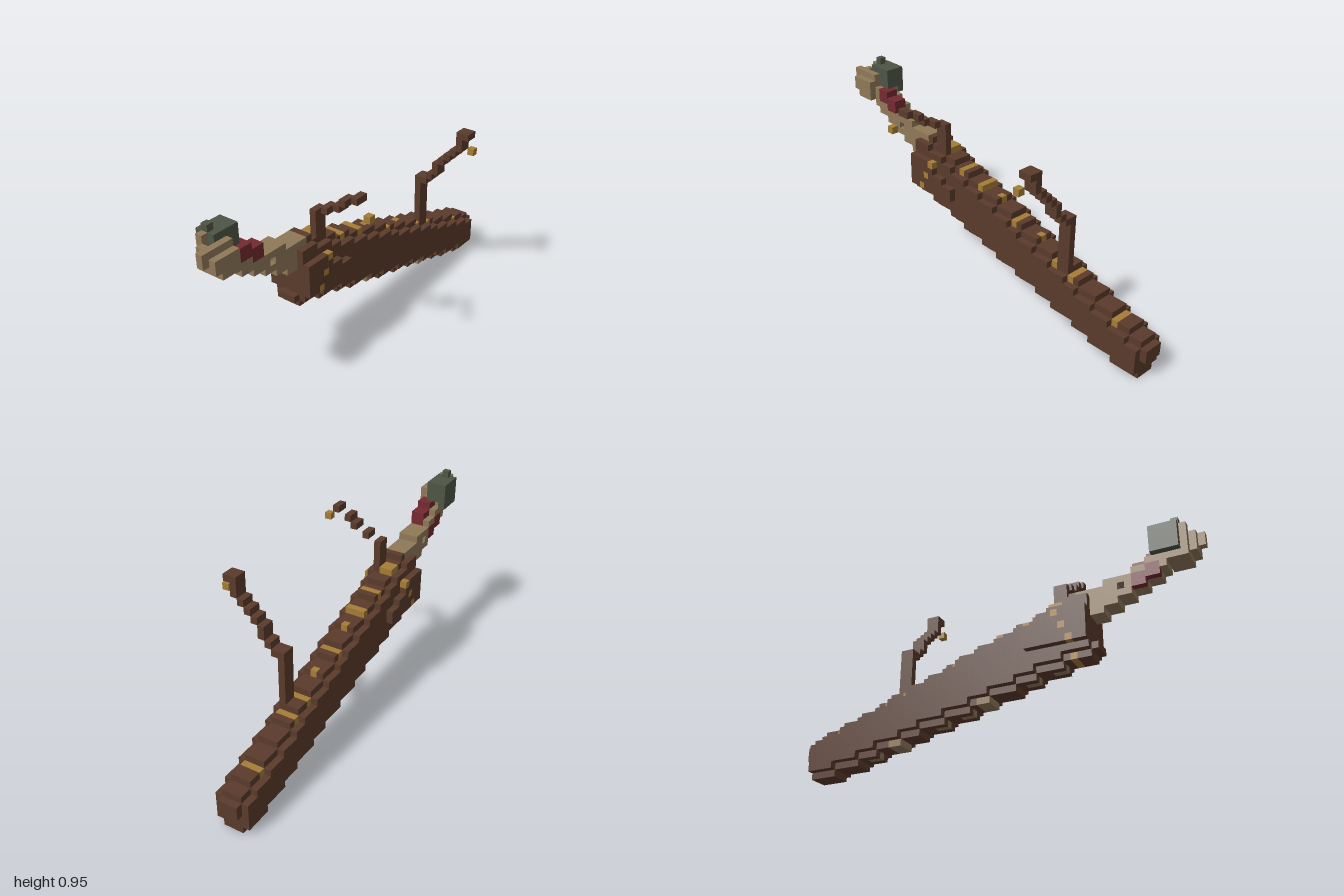
import * as THREE from 'three';
import { mergeGeometries } from 'three/addons/utils/BufferGeometryUtils.js';

const U = 2 / 61; // edge of one cube
const makeMaterial = (name, color) => new THREE.MeshStandardMaterial({ name, color });

// One square face of a cube for each direction
const half = Math.PI / 2;
const FACES = [
  [0, 0, 1, (g) => g], [0, 0, -1, (g) => g.rotateY(Math.PI)],
  [1, 0, 0, (g) => g.rotateY(half)], [-1, 0, 0, (g) => g.rotateY(-half)],
  [0, 1, 0, (g) => g.rotateX(-half)], [0, -1, 0, (g) => g.rotateX(half)],
];

export function createModel() {
  const materials = {
    wood: makeMaterial('dark wood', 0x5a3b2c),
    tan: makeMaterial('tan', 0x8f7858),
    gold: makeMaterial('gold', 0xa57c35),
    green: makeMaterial('grey green', 0x4e5545),
    red: makeMaterial('dark red', 0x742a2f),
  };
  const cells = new Map();
  const key = (x, y, z) => `${x},${y},${z}`;

  // Fills an inclusive range of cubes; later blocks replace earlier ones
  function block(part, color, [x0, x1], [y0, y1], [z0, z1]) {
    for (let x = x0; x <= x1; x++)
      for (let y = y0; y <= y1; y++)
        for (let z = z0; z <= z1; z++) cells.set(key(x, y, z), { x, y, z, part, color });
  }

  // Sloping, tapering beam with chamfered long edges
  const bottom = (k) => Math.max(0, Math.floor((k - 1) / 3.6));
  const top = (k) => Math.min(20, Math.floor(6 + 0.36 * k) - 1);
  block('beam', 'wood', [2, 4], [3, 4], [0, 0]);
  for (let k = 1; k <= 44; k++) {
    const end = k > 42 ? 1 : 0;
    block('beam', 'wood', [2, 4], [bottom(k), top(k) - end], [k, k]);
    block('beam', 'wood', [1, 5], [bottom(k) + 1, top(k) - 1], [k, k]);
  }
  block('frontLip', 'wood', [2, 4], [12, 12], [45, 45]);

  // Cheeks on both sides of the front end, with studs
  for (const x of [0, 6]) {
    block('cheek', 'wood', [x, x], [13, 17], [40, 44]);
    block('cheek', 'wood', [x, x], [13, 15], [38, 39]);
    block('cheek', 'wood', [x, x], [13, 14], [36, 37]);
    for (const [y, z] of [[17, 40], [15, 41], [13, 42]])
      block('cheekStud', 'gold', [x, x], [y, y], [z, z]);
  }

  // Gold bands and dots on the top
  for (const k of [5, 13, 16, 24, 31, 35]) block('topBand', 'gold', [2, 4], [top(k), top(k)], [k, k]);
  for (const k of [20, 28]) block('topDot', 'gold', [3, 3], [top(k), top(k)], [k, k]);
  block('topBand', 'gold', [2, 3], [top(40), top(40)], [39, 40]);

  // Inlay along the underside
  for (let k = 2; k <= 41; k++) {
    const row = bottom(k);
    if (bottom(k + 2) === row) continue;
    if (row === 3 || row === 7) block('inlay', 'tan', [2, 4], [row, row], [k, k]);
    else if ([2, 5, 6, 9, 10].includes(row)) block('inlay', 'tan', [3, 3], [row, row], [k, k]);
  }
  block('underBand', 'gold', [2, 4], [11, 11], [42, 42]);

  // Rising neck at the front, with one open gap
  const low = (k) => (k < 45 ? 17 : Math.floor(17 + (k - 45) * 0.53));
  for (let k = 43; k <= 55; k++) {
    const height = k < 49 ? 3 : 2;
    block('neck', 'tan', [2, 4], [low(k), low(k) + height], [k, k]);
  }
  for (let x = 2; x <= 4; x++) cells.delete(key(x, 20, 49));

  // Red collar
  for (let k = 51; k <= 54; k++) {
    block('collar', 'red', [3, 4], [low(k) + 2, low(k) + 3], [k, k]);
    block('collar', 'red', [2, 2], [low(k), low(k) + 1], [k, k]);
  }

  // Head with its tip and green crest
  block('head', 'tan', [2, 3], [23, 25], [56, 58]);
  block('head', 'tan', [2, 2], [26, 27], [58, 58]);
  block('head', 'tan', [4, 4], [23, 26], [56, 58]);
  block('head', 'tan', [3, 4], [24, 26], [59, 59]);
  block('head', 'tan', [5, 5], [23, 25], [56, 58]);
  block('head', 'tan', [5, 5], [24, 25], [59, 59]);
  block('headTip', 'tan', [4, 4], [25, 26], [60, 60]);
  block('crest', 'green', [1, 1], [24, 27], [54, 57]);
  block('crest', 'green', [2, 3], [25, 27], [54, 57]);
  block('crest', 'green', [2, 2], [28, 28], [57, 57]);

  // Back post with a stepped arm
  block('backPost', 'wood', [4, 4], [10, 18], [14, 15]);
  for (const [x, y0, y1] of [[5, 18, 18], [6, 19, 19], [7, 20, 21], [8, 22, 22], [9, 23, 23],
    [10, 24, 24], [11, 25, 27], [12, 27, 27]])
    block('backArm', 'wood', [x, x], [y0, y1], [14, 15]);
  block('backArmBead', 'gold', [13, 13], [25, 25], [15, 15]);

  // Front post with a broken arm
  block('frontPost', 'wood', [4, 4], [19, 23], [39, 40]);
  for (const [x, y] of [[6, 24], [8, 25], [9, 26], [11, 27]])
    block('frontArm', 'wood', [x, x], [y, y], [39, 40]);
  block('frontArmBead', 'gold', [13, 13], [25, 25], [40, 40]);

  // Collect the visible cube faces of each part
  const parts = {};
  for (const c of cells.values()) {
    for (const [dx, dy, dz, turn] of FACES) {
      if (cells.has(key(c.x + dx, c.y + dy, c.z + dz))) continue;
      const face = turn(new THREE.PlaneGeometry(U, U));
      face.translate((c.x - 6.5 + dx / 2) * U, (c.y + 0.5 + dy / 2) * U, (c.z - 30 + dz / 2) * U);
      (parts[c.part] ??= { color: c.color, faces: [] }).faces.push(face);
    }
  }

  const group = new THREE.Group();
  group.name = 'steppedBeam';
  for (const [name, { color, faces }] of Object.entries(parts)) {
    const mesh = new THREE.Mesh(mergeGeometries(faces), materials[color]);
    mesh.name = name;
    group.add(mesh);
  }
  return group;
}
